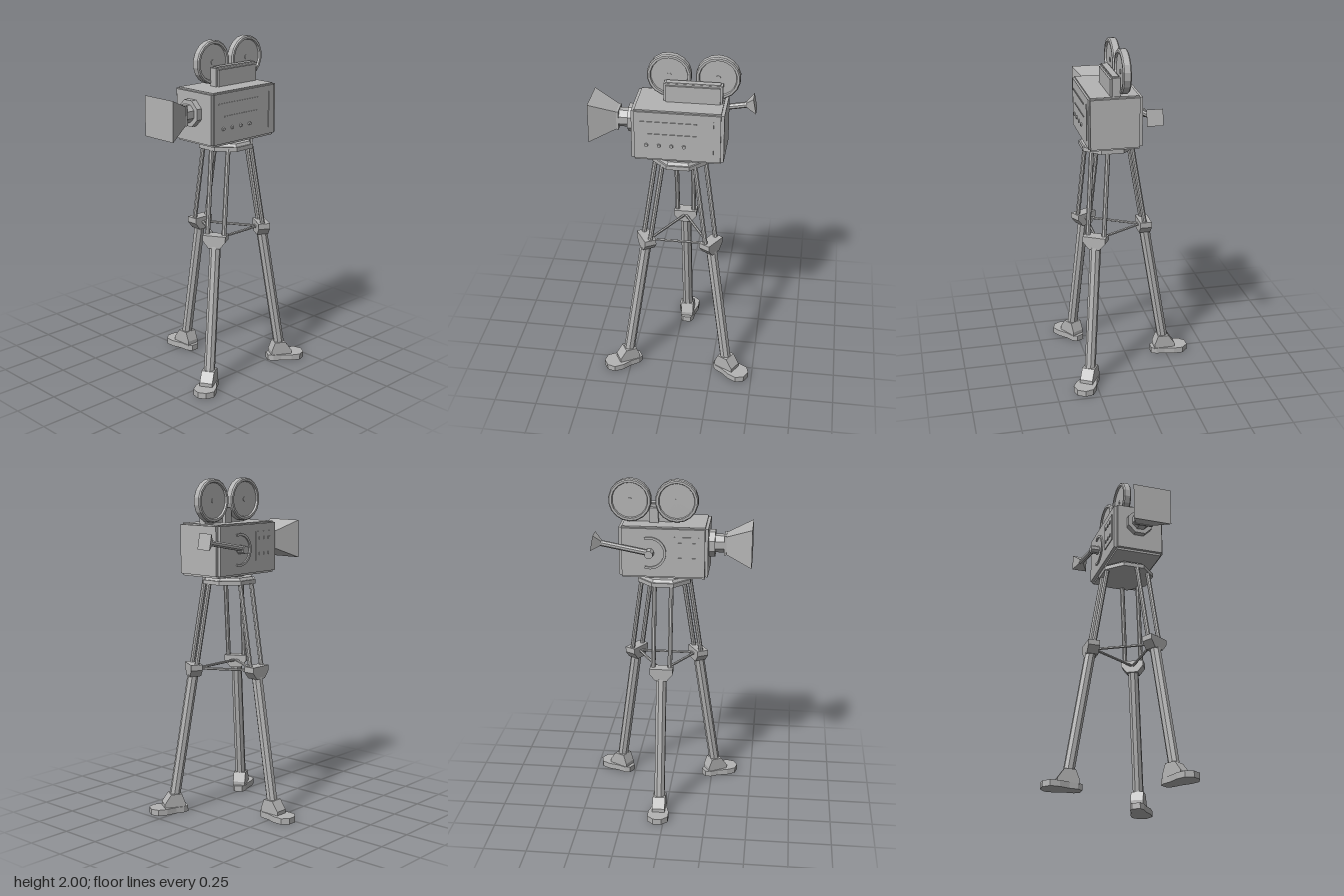
import * as THREE from 'three';

const grey = new THREE.MeshStandardMaterial({ color: 0xb4b4b4, flatShading: true });
grey.name = 'plain grey';

const CX = 0.035, CZ = 0.11; // tripod axis
const legRadius = (y) => 0.362 - 0.163 * y;

function add(parent, name, geometry, x = 0, y = 0, z = 0) {
  const mesh = new THREE.Mesh(geometry, grey);
  mesh.name = name;
  mesh.position.set(x, y, z);
  parent.add(mesh);
  return mesh;
}

// Box given by its limits
function box(parent, name, x0, x1, y0, y1, z0, z1) {
  return add(parent, name, new THREE.BoxGeometry(x1 - x0, y1 - y0, z1 - z0),
    (x0 + x1) / 2, (y0 + y1) / 2, (z0 + z1) / 2);
}

// Prism with flat sides facing the axes; widths measured across the flats
function prism(w0, w1, h, sides) {
  const k = 2 * Math.cos(Math.PI / sides);
  return new THREE.CylinderGeometry(w1 / k, w0 / k, h, sides).rotateY(Math.PI / sides);
}

// Prism running from point a to point b
function beam(parent, name, a, b, w0, w1 = w0, sides = 8) {
  const p = new THREE.Vector3(...a), q = new THREE.Vector3(...b);
  const d = q.clone().sub(p);
  const mesh = add(parent, name, prism(w0, w1, d.length(), sides));
  mesh.position.copy(p).add(q).multiplyScalar(0.5);
  mesh.quaternion.setFromUnitVectors(new THREE.Vector3(0, 1, 0), d.normalize());
  return mesh;
}

function extrude(points, depth) {
  const shape = new THREE.Shape(points.map(([x, y]) => new THREE.Vector2(x, y)));
  return new THREE.ExtrudeGeometry(shape, { depth, bevelEnabled: false });
}

// Closed outline mirrored across x = 0
const mirrored = (half) => [...half, ...half.map(([x, y]) => [-x, y]).reverse()];

// One leg, leaning outward along local +z
function makeLeg(angle) {
  const leg = new THREE.Group();
  leg.name = 'leg';
  leg.position.set(CX, 0, CZ);
  leg.rotation.y = angle;

  const sole = mirrored([[0.025, 0.27], [0.042, 0.3], [0.045, 0.35], [0.062, 0.41], [0.062, 0.465], [0.025, 0.5]]);
  add(leg, 'footPad', extrude(sole, 0.036).rotateX(Math.PI / 2), 0, 0.036, 0);

  const ankle = [[0.29, 0.03], [0.418, 0.03], [0.418, 0.058], [0.378, 0.115], [0.312, 0.115], [0.29, 0.058]];
  add(leg, 'ankleBlock', extrude(ankle, 0.076).translate(0, 0, -0.038).rotateY(-Math.PI / 2));

  beam(leg, 'lowerLeg', [0, 0.08, legRadius(0.08)], [0, 0.88, legRadius(0.88)], 0.06);
  for (const x of [-0.049, 0.049]) {
    beam(leg, 'upperRod', [x, 0.87, legRadius(0.87)], [x, 1.395, legRadius(1.395)], 0.026);
  }

  const bracket = mirrored([[0.034, 0.833], [0.068, 0.875], [0.068, 0.908]]);
  add(leg, 'legBracket', extrude(bracket, 0.07), 0, 0, 0.185);
  return leg;
}

// Film reel: dished disc with a rim and small hub, axis along z
function makeReel(x) {
  const profile = [[0, -0.016], [0.014, -0.016], [0.014, -0.013], [0.102, -0.013], [0.106, -0.024], [0.119, -0.024],
    [0.125, -0.017], [0.125, 0.017], [0.119, 0.024], [0.106, 0.024], [0.102, 0.013], [0.014, 0.013],
    [0.014, 0.016], [0, 0.016]].map(([r, y]) => new THREE.Vector2(r, y));
  return [new THREE.LatheGeometry(profile, 18).rotateX(Math.PI / 2), x, 1.875, 0.061];
}

export function createModel() {
  const model = new THREE.Group();
  model.name = 'movieCameraOnTripod';

  // Tripod: three legs, spreader bars and head
  const angles = [Math.PI, Math.PI / 3, -Math.PI / 3];
  const joints = angles.map((a) => [CX + 0.2 * Math.sin(a), 0.877, CZ + 0.2 * Math.cos(a)]);
  angles.forEach((a, i) => {
    model.add(makeLeg(a));
    beam(model, 'spreaderBar', joints[i], joints[(i + 1) % 3], 0.014, 0.014, 6);
  });
  add(model, 'tripodPlate', prism(0.31, 0.31, 0.024, 8), CX, 1.397, CZ);
  add(model, 'tripodUpperPlate', prism(0.29, 0.27, 0.016, 8), CX, 1.417, CZ);
  add(model, 'tripodNeck', prism(0.17, 0.17, 0.026, 8), CX, 1.435, CZ);

  // Camera body: overlapping boxes give stepped edges
  const body = new THREE.Group();
  body.name = 'cameraBody';
  model.add(body);
  box(body, 'bodyCore', -0.225, 0.29, 1.45, 1.735, -0.025, 0.255);
  box(body, 'bodyFrontBackPanels', -0.208, 0.272, 1.45, 1.735, -0.044, 0.264);
  box(body, 'bodyTopBottomPanels', -0.208, 0.272, 1.437, 1.743, -0.025, 0.252);

  // Front trim: raised lines and small knobs
  box(body, 'frontLine', -0.175, 0.14, 1.672, 1.68, 0.262, 0.268);
  box(body, 'frontLine', -0.13, 0.14, 1.6, 1.606, 0.262, 0.268);
  box(body, 'frontSideStrip', 0.225, 0.233, 1.49, 1.7, 0.262, 0.268);
  for (const x of [-0.14, -0.07, 0.0, 0.07]) {
    add(body, 'frontKnob', new THREE.CylinderGeometry(0.01, 0.012, 0.01, 6).rotateX(Math.PI / 2), x, 1.535, 0.267);
  }

  // Back trim: small control panel and curved guard around the crank
  box(body, 'backPanel', -0.175, -0.03, 1.52, 1.69, -0.049, -0.042);
  for (const y of [1.56, 1.65]) {
    for (const x of [-0.145, -0.105, -0.065]) {
      box(body, 'backButton', x - 0.01, x + 0.01, y - 0.008, y + 0.008, -0.054, -0.046);
    }
  }
  const arc = new THREE.Shape();
  arc.absarc(0, 0, 0.096, Math.PI * 0.4, Math.PI * 1.6, false);
  arc.absarc(0, 0, 0.082, Math.PI * 1.6, Math.PI * 0.4, true);
  add(body, 'crankGuard', new THREE.ExtrudeGeometry(arc, { depth: 0.01, bevelEnabled: false, curveSegments: 10 }),
    0.11, 1.592, -0.053);

  // Crank
  const crank = new THREE.Group();
  crank.name = 'crank';
  model.add(crank);
  add(crank, 'crankHub', prism(0.05, 0.046, 0.055, 8).rotateX(-Math.PI / 2), 0.11, 1.594, -0.068);
  beam(crank, 'crankArm', [0.11, 1.6, -0.073], [0.395, 1.653, -0.073], 0.032);
  beam(crank, 'crankGrip', [0.386, 1.652, -0.073], [0.433, 1.661, -0.073], 0.03, 0.092, 4);

  // Lens barrel and square hood pointing to -x
  const lens = new THREE.Group();
  lens.name = 'lens';
  model.add(lens);
  const at = (x) => [x, 1.618, 0.105];
  beam(lens, 'lensMount', at(-0.215), at(-0.26), 0.148);
  beam(lens, 'lensBarrel', at(-0.25), at(-0.318), 0.1);
  beam(lens, 'hoodFlange', at(-0.313), at(-0.325), 0.112, 0.112, 4);
  beam(lens, 'lensHood', at(-0.325), at(-0.475), 0.106, 0.23, 4);

  // Film housing and reels on top
  box(model, 'filmHousing', -0.062, 0.265, 1.735, 1.847, 0.08, 0.126);
  box(model, 'filmHousingFace', -0.05, 0.253, 1.74, 1.838, 0.12, 0.137);
  add(model, 'filmHousingCap', new THREE.BoxGeometry(0.303, 0.01, 0.036), 0.1015, 1.849, 0.106);
  box(model, 'reelLink', 0.07, 0.12, 1.74, 1.83, 0.055, 0.082);
  for (const x of [-0.038, 0.233]) add(model, 'filmReel', ...makeReel(x));

  return model;
}
